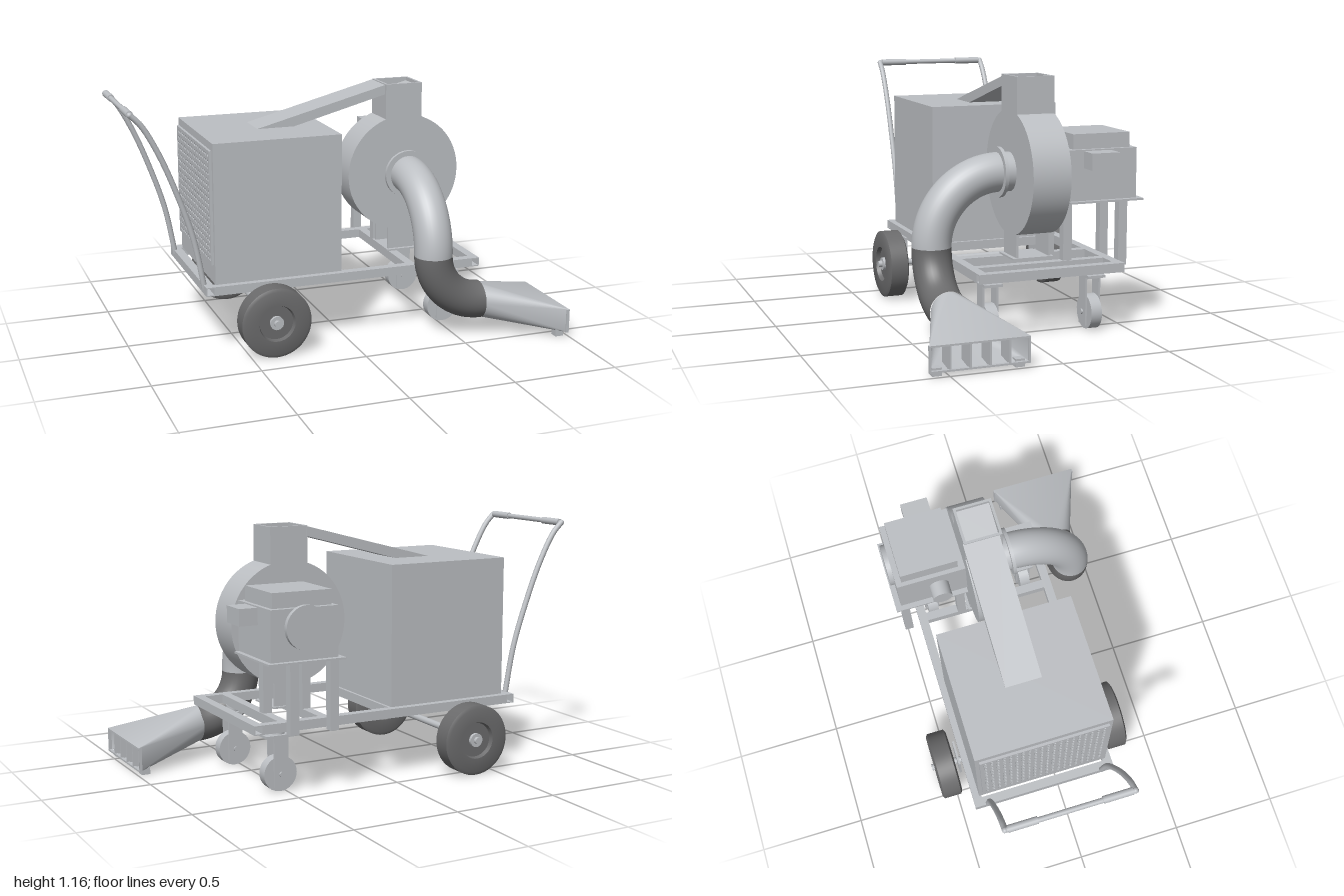
import * as THREE from 'three';
import { toCreasedNormals } from 'three/addons/utils/BufferGeometryUtils.js';

export function createModel() {
  const model = new THREE.Group();
  const metal = new THREE.MeshStandardMaterial({ color: 0xbcbfc3 });
  metal.name = 'light grey metal';
  const rubber = new THREE.MeshStandardMaterial({ color: 0x6b6b6c });
  rubber.name = 'dark grey rubber';
  const sheet = new THREE.MeshStandardMaterial({ color: 0xbcbfc3, side: THREE.DoubleSide });
  sheet.name = 'light grey sheet';

  const add = (name, geo, mat = metal, parent = model) => {
    const m = new THREE.Mesh(geo, mat);
    m.name = name;
    parent.add(m);
    return m;
  };
  // Box given by its minimum and maximum on each axis
  const box = (name, x0, x1, y0, y1, z0, z1, mat = metal, parent = model) => {
    const m = add(name, new THREE.BoxGeometry(x1 - x0, y1 - y0, z1 - z0), mat, parent);
    m.position.set((x0 + x1) / 2, (y0 + y1) / 2, (z0 + z1) / 2);
    return m;
  };
  // Cylinder along z or x, from a to b
  const rodZ = (name, r, x, y, a, b, mat = metal, parent = model, n = 32) => {
    const m = add(name, new THREE.CylinderGeometry(r, r, b - a, n).rotateX(Math.PI / 2), mat, parent);
    m.position.set(x, y, (a + b) / 2);
    return m;
  };
  const rodX = (name, r, y, z, a, b) => {
    const m = add(name, new THREE.CylinderGeometry(r, r, b - a, 32).rotateZ(Math.PI / 2));
    m.position.set((a + b) / 2, y, z);
    return m;
  };
  // Hollow square tube along x or z
  const squareTube = (name, axis, length, x, y, z) => {
    const h = 0.021, t = 0.016;
    const s = new THREE.Shape([[-h, -h], [h, -h], [h, h], [-h, h]].map(p => new THREE.Vector2(...p)));
    s.holes.push(new THREE.Path([[-t, -t], [-t, t], [t, t], [t, -t]].map(p => new THREE.Vector2(...p))));
    const g = new THREE.ExtrudeGeometry(s, { depth: length, bevelEnabled: false }).translate(0, 0, -length / 2);
    if (axis === 'x') g.rotateY(Math.PI / 2);
    add(name, g).position.set(x, y, z);
  };

  // Chassis frame
  for (const z of [-0.42, 0.232]) squareTube('frameRail', 'x', 1.28, 0, 0.308, z);
  for (const x of [-0.66, 0.66]) squareTube('frameEndBar', 'z', 0.695, x, 0.308, -0.094);
  for (const x of [-0.385, -0.03, 0.33, 0.53]) squareTube('frameCrossBar', 'z', 0.61, x, 0.308, -0.094);

  // Collection box with perforated vent panel
  box('collectionBox', -0.63, -0.02, 0.33, 0.985, -0.41, 0.225);
  const vent = new THREE.Shape([[-0.3, -0.265], [0.3, -0.265], [0.3, 0.265], [-0.3, 0.265]].map(p => new THREE.Vector2(...p)));
  for (let i = 0; i < 20; i++) for (let j = 0; j < 18; j++) {
    const hole = new THREE.Path();
    hole.absarc(-0.275 + i * 0.029, -0.243 + j * 0.0286, 0.008, 0, Math.PI * 2, true);
    vent.holes.push(hole);
  }
  const ventGeo = new THREE.ExtrudeGeometry(vent, { depth: 0.012, bevelEnabled: false, curveSegments: 4 });
  const panel = add('ventPanel', ventGeo.rotateY(-Math.PI / 2));
  panel.position.set(-0.631, 0.685, -0.092);
  box('ventBacking', -0.633, -0.63, 0.425, 0.945, -0.385, 0.2, rubber);

  // Sloped duct from blower to collection box
  const duct = new THREE.Shape([[-0.35, 0.985], [-0.17, 0.985], [0.295, 1.11], [0.295, 1.155]].map(p => new THREE.Vector2(...p)));
  add('transferDuct', new THREE.ExtrudeGeometry(duct, { depth: 0.17, bevelEnabled: false })).position.z = -0.186;

  // Blower housing, outlet neck and foot
  rodZ('blowerHousing', 0.285, 0.385, 0.72, -0.182, -0.002, metal, model, 64);
  for (const x of [0.29, 0.463]) box('outletSide', x, x + 0.012, 0.9, 1.158, -0.182, -0.002);
  for (const z of [-0.182, -0.014]) box('outletWall', 0.29, 0.475, 0.9, 1.158, z, z + 0.012);
  box('outletDeflector', 0.3, 0.466, 1.115, 1.121, -0.172, -0.012).rotation.z = 0.25;
  box('blowerFootPlate', 0.3, 0.47, 0.33, 0.338, -0.19, 0.01);
  for (const z of [-0.178, -0.02]) box('blowerFoot', 0.31, 0.46, 0.335, 0.47, z, z + 0.012);

  // Intake pipe, flange and flexible hose
  rodZ('intakePipe', 0.09, 0.385, 0.725, -0.01, 0.052);
  rodZ('intakeFlange', 0.115, 0.385, 0.725, 0.042, 0.058);
  const elbow = add('intakeElbow', new THREE.TorusGeometry(0.32, 0.09, 32, 32, Math.PI / 2), sheet);
  elbow.position.set(0.385, 0.405, 0.05);
  elbow.rotation.y = -Math.PI / 2;
  const hose = add('flexibleHose', new THREE.TorusGeometry(0.24, 0.09, 32, 32, Math.PI / 2), rubber);
  hose.position.set(0.625, 0.405, 0.37);
  hose.rotation.z = Math.PI;

  // Round-to-rectangular suction nozzle: each quarter arc meets one mouth corner
  const ring = [], mouth = [], zc = 0.367;
  for (let q = 0; q < 4; q++) for (let i = 0; i <= 10; i++) {
    const a = (q + i / 10) * Math.PI / 2;
    ring.push([0.61, 0.165 + 0.084 * Math.sin(a), zc + 0.084 * Math.cos(a)]);
    mouth.push([1, q < 2 ? 0.135 : 0.02, zc + (q === 0 || q === 3 ? 0.221 : -0.221)]);
  }
  const tris = [];
  ring.forEach((p, i) => {
    const k = (i + 1) % ring.length;
    if (i % 11 < 10) tris.push(...p, ...ring[k], ...mouth[i]);
    else tris.push(...p, ...mouth[k], ...mouth[i]);
  });
  const nozzleGeo = new THREE.BufferGeometry();
  nozzleGeo.setAttribute('position', new THREE.Float32BufferAttribute(tris, 3));
  nozzleGeo.computeVertexNormals();
  add('suctionNozzle', toCreasedNormals(nozzleGeo, 0.5), sheet);
  for (const y of [0.02, 0.127]) box('mouthRim', 0.985, 1, y, y + 0.008, zc - 0.221, zc + 0.221);
  for (let i = 0; i <= 5; i++) {
    const z = zc - 0.217 + i * 0.0868;
    box('mouthDivider', i % 5 ? 0.9 : 0.985, 0.999, 0.025, 0.132, z - 0.004, z + 0.004);
  }
  for (const s of [-1, 1]) box('nozzleFoot', 0.94, 0.98, 0, 0.035, zc + s * 0.182 - 0.02, zc + s * 0.182 + 0.02);

  // Engine on its stand
  for (const x of [0.33, 0.525]) for (const z of [-0.498, -0.222])
    box('engineLeg', x - 0.021, x + 0.021, z < -0.4 ? 0.287 : 0.325, 0.606, z - 0.021, z + 0.021);
  box('engineBasePlate', 0.285, 0.657, 0.605, 0.614, -0.542, -0.185);
  box('engineBlock', 0.31, 0.635, 0.614, 0.842, -0.515, -0.182);
  box('engineTop', 0.33, 0.615, 0.842, 0.91, -0.488, -0.213);
  box('controlBox', 0.635, 0.722, 0.76, 0.836, -0.387, -0.256);
  rodZ('starterCover', 0.098, 0.472, 0.758, -0.537, -0.515);
  rodX('airFilter', 0.047, 0.74, -0.317, 0.24, 0.31);

  // Main wheels: tyre with recessed disc, hub and bracket
  const tyre = [[0.025, -0.03], [0.08, -0.03], [0.086, -0.05], [0.15, -0.05], [0.165, -0.042],
    [0.165, 0.042], [0.15, 0.05], [0.086, 0.05], [0.08, 0.03], [0.025, 0.03]].map(p => new THREE.Vector2(...p));
  const tyreGeo = toCreasedNormals(new THREE.LatheGeometry(tyre, 48).rotateX(Math.PI / 2), 0.6);
  for (const [z, b] of [[0.329, 0.262], [-0.525, -0.455]]) {
    const wheel = new THREE.Group();
    wheel.name = 'mainWheel';
    model.add(wheel);
    add('tyre', tyreGeo, rubber, wheel).position.set(-0.385, 0.165, z);
    rodZ('hub', 0.032, -0.385, 0.165, z - 0.045, z + 0.045, metal, wheel);
    box('axleBracket', -0.445, -0.325, 0.14, 0.3, b - 0.005, b + 0.005, metal, wheel);
  }
  rodZ('axle', 0.016, -0.385, 0.165, -0.587, 0.392);

  // Swivel casters
  for (const z of [0.155, -0.345]) {
    const caster = new THREE.Group();
    caster.name = 'caster';
    model.add(caster);
    rodZ('casterWheel', 0.08, 0.525, 0.08, z - 0.026, z + 0.026, metal, caster);
    rodZ('casterAxle', 0.012, 0.525, 0.08, z - 0.045, z + 0.045, metal, caster, 12);
    for (const s of [-1, 1])
      box('casterFork', 0.49, 0.56, 0.02, 0.25, z + s * 0.033 - 0.004, z + s * 0.033 + 0.004, metal, caster);
    box('casterPlate', 0.46, 0.6, 0.248, 0.26, z - 0.043, z + 0.043, metal, caster);
    const stem = add('casterStem', new THREE.CylinderGeometry(0.03, 0.03, 0.03, 20), metal, caster);
    stem.position.set(0.525, 0.274, z);
  }

  // Push handle
  const side = [[-0.674, 0.31], [-0.72, 0.55], [-0.79, 0.765], [-0.866, 0.952], [-0.94, 1.085], [-0.986, 1.132]];
  for (const z of [0.193, -0.378]) {
    const curve = new THREE.CatmullRomCurve3(side.map(p => new THREE.Vector3(p[0], p[1], z)));
    add('handleSide', new THREE.TubeGeometry(curve, 32, 0.013, 12));
    add('handleCorner', new THREE.SphereGeometry(0.0135, 12, 8)).position.set(-0.986, 1.132, z);
  }
  rodZ('handleBar', 0.012, -0.986, 1.132, -0.378, 0.193, metal, model, 16);
  for (const [a, b] of [[0.05, 0.182], [-0.367, -0.235]]) rodZ('handleGrip', 0.0165, -0.985, 1.132, a, b, metal, model, 20);

  return model;
}
